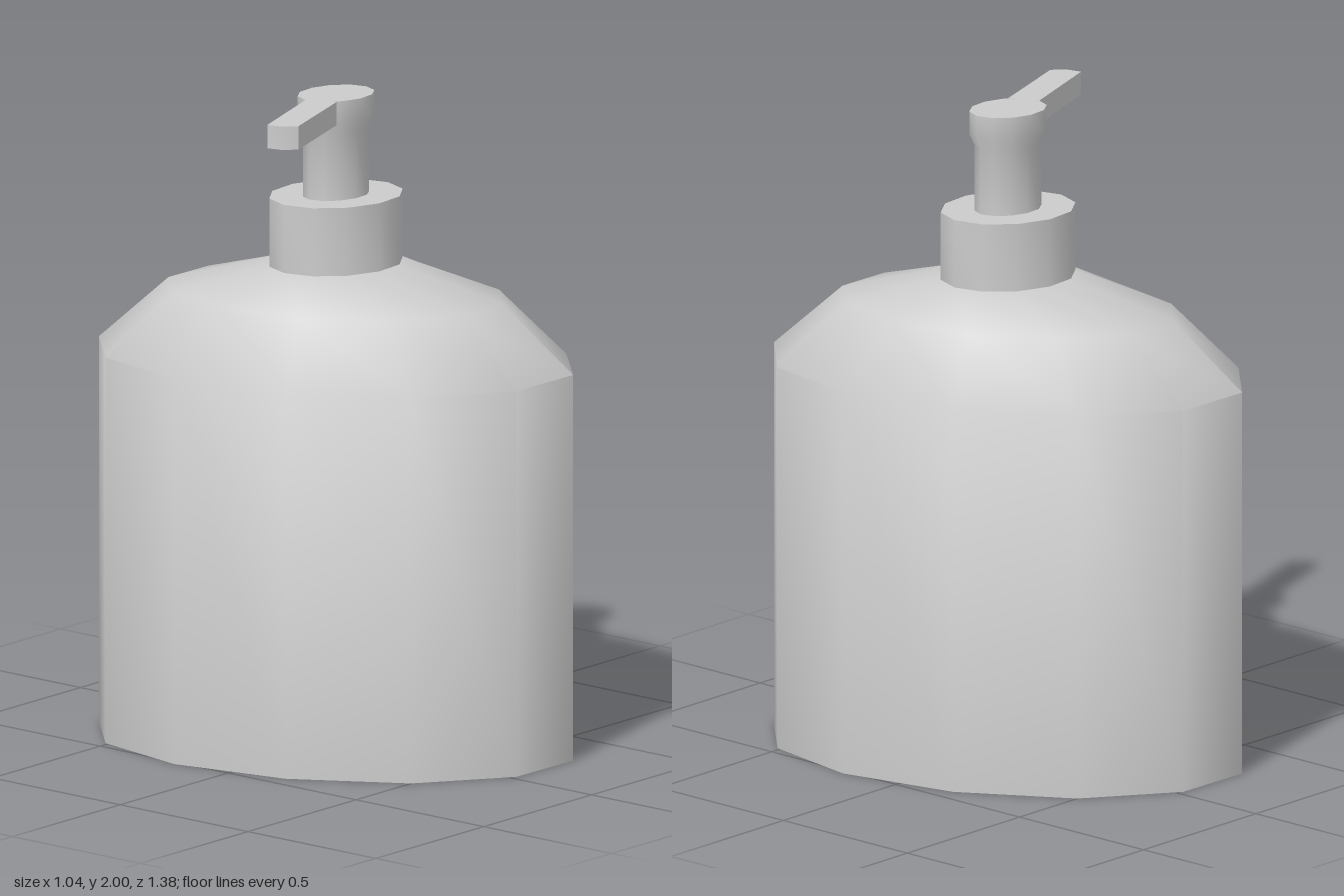
import * as THREE from 'three';
import { toCreasedNormals } from 'three/addons/utils/BufferGeometryUtils.js';

const SIDES = 12;
const material = new THREE.MeshStandardMaterial({ color: 0xcccccc });

// Skewed oval ring: two conjugate radii a and b, each [x, z], at height y
const oval = (y, a, b, sx = 1, sz = sx) =>
  Array.from({ length: SIDES }, (_, i) => {
    const t = (i / SIDES) * Math.PI * 2;
    const c = Math.cos(t), s = Math.sin(t);
    return [sx * (a[0] * c + b[0] * s), y, sz * (a[1] * c + b[1] * s)];
  });

// Skin a stack of rings from bottom to top and close both ends
function loft(name, rings, crease) {
  const pos = [];
  const tri = (...points) => points.forEach((p) => pos.push(...p));
  const first = rings[0], last = rings[rings.length - 1];
  const bottom = [0, first[0][1], 0], top = [0, last[0][1], 0];
  for (let i = 0; i < SIDES; i++) {
    const j = (i + 1) % SIDES;
    for (let k = 0; k < rings.length - 1; k++) {
      const lo = rings[k], hi = rings[k + 1];
      tri(lo[i], hi[i], hi[j]);
      tri(lo[i], hi[j], lo[j]);
    }
    tri(bottom, first[i], first[j]);
    tri(top, last[j], last[i]);
  }
  const geometry = new THREE.BufferGeometry();
  geometry.setAttribute('position', new THREE.Float32BufferAttribute(pos, 3));
  const mesh = new THREE.Mesh(toCreasedNormals(geometry, crease), material);
  mesh.name = name;
  return mesh;
}

export function createModel() {
  const group = new THREE.Group();
  group.name = 'pumpBottle';

  const bodyA = [0.522, 0.193], bodyB = [0.02, 0.688];
  const neckA = [0.205, 0.03], neckB = [-0.006, 0.175];

  // Oval bottle with sloping shoulders that meet the collar
  group.add(loft('bottleBody', [
    oval(0, bodyA, bodyB),
    oval(1.19, bodyA, bodyB),
    oval(1.39, bodyA, bodyB, 0.707),
    oval(1.48, neckA, neckB),
  ], 0.9));

  // Collar
  group.add(loft('collar', [
    oval(1.48, neckA, neckB),
    oval(1.69, neckA, neckB),
  ], 0.8));

  // Pump stem flaring into the flat head
  group.add(loft('pumpHead', [
    oval(1.69, neckA, neckB, 0.52, 0.47),
    oval(1.895, neckA, neckB, 0.52, 0.47),
    oval(1.93, neckA, neckB, 0.59, 0.555),
    oval(2, neckA, neckB, 0.59, 0.555),
  ], 0.9));

  // Nozzle, outlined in plan as [x, z] and extruded upwards
  const outline = [
    [-0.123, -0.016], [-0.425, 0.09], [-0.412, 0.138], [-0.377, 0.171], [-0.08, 0.07],
  ];
  const shape = new THREE.Shape(outline.map(([x, z]) => new THREE.Vector2(x, -z)));
  const nozzleGeometry = new THREE.ExtrudeGeometry(shape, { depth: 0.072, bevelEnabled: false });
  nozzleGeometry.rotateX(-Math.PI / 2);
  nozzleGeometry.translate(0, 1.928, 0);
  const nozzle = new THREE.Mesh(toCreasedNormals(nozzleGeometry, 0.8), material);
  nozzle.name = 'nozzle';
  group.add(nozzle);

  return group;
}
